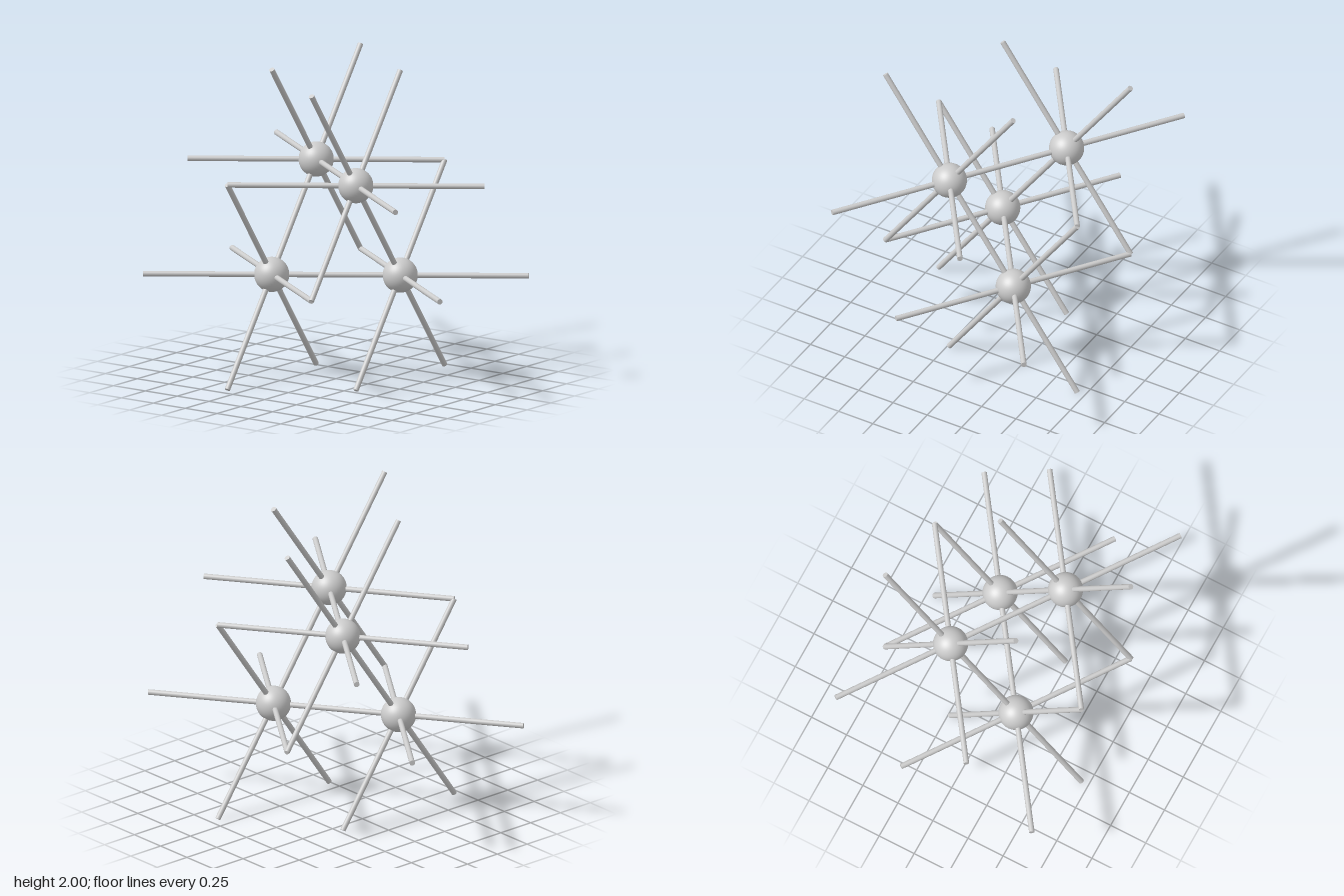
import * as THREE from 'three';

const U = 0.33;              // half spacing of the nodes in y and z
const V = U / Math.SQRT2;    // half spacing in x
const BALL_R = 0.111, ROD_R = 0.0175;

export function createModel() {
  const model = new THREE.Group();
  model.name = 'crystalLattice';
  const material = new THREE.MeshStandardMaterial({ color: 0xcccccc });

  // Four nodes, at alternating corners of a box
  const nodes = [[1, -1, 1], [-1, 1, 1], [1, 1, -1], [-1, -1, -1]]
    .map(([x, y, z]) => new THREE.Vector3(x * V, 1 + y * U, z * U));

  // Eight bond directions, in the xy and xz planes
  const bonds = [];
  for (const sx of [-1, 1]) for (const s of [-1, 1]) {
    bonds.push(new THREE.Vector3(sx * 2 * V, s * 2 * U, 0));
    bonds.push(new THREE.Vector3(sx * 2 * V, 0, s * 2 * U));
  }

  const ballGeometry = new THREE.SphereGeometry(BALL_R, 40, 24);
  const rodGeometry = new THREE.CylinderGeometry(ROD_R, ROD_R, bonds[0].length(), 20);
  const up = new THREE.Vector3(0, 1, 0);

  nodes.forEach((node, i) => {
    const ball = new THREE.Mesh(ballGeometry, material);
    ball.name = 'nodeBall';
    ball.position.copy(node);
    model.add(ball);

    for (const bond of bonds) {
      const end = node.clone().add(bond);
      // A rod between two nodes is built only once
      if (nodes.some((other, j) => j < i && other.distanceTo(end) < 0.01)) continue;
      const rod = new THREE.Mesh(rodGeometry, material);
      rod.name = 'bondRod';
      rod.position.copy(node).addScaledVector(bond, 0.5);
      rod.quaternion.setFromUnitVectors(up, bond.clone().normalize());
      model.add(rod);
    }
  });
  return model;
}
